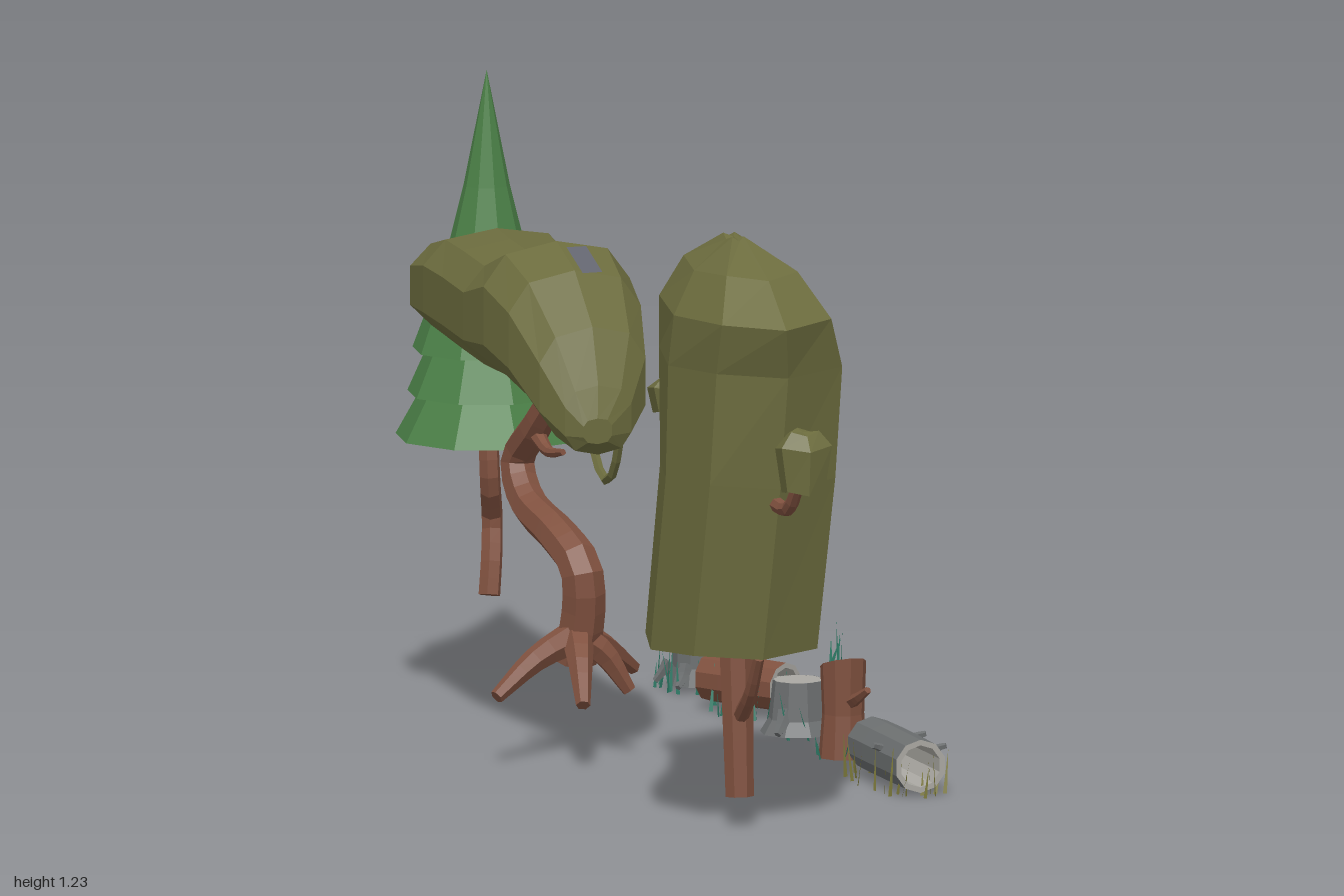
import * as THREE from 'three';

const flat = (color, name, side = THREE.FrontSide) => {
  const m = new THREE.MeshStandardMaterial({ color, flatShading: true, side });
  m.name = name;
  return m;
};

let seed = 7;
const rnd = () => (seed = (seed * 16807) % 2147483647) / 2147483647;
const V = (p) => new THREE.Vector3(...p);

export function createModel() {
  const root = new THREE.Group();
  const olive = flat(0x6c6c3e, 'oliveLeaves');
  const bark = flat(0x80513f, 'brownBark');
  const pine = flat(0x4b8047, 'pineGreen', THREE.DoubleSide);
  const grey = flat(0x6c6f70, 'greyBark');
  const wood = flat(0xaaa8a2, 'paleWood');
  const slate = flat(0x62656f, 'slate');
  const teal = flat(0x2f7d68, 'tealGrass', THREE.DoubleSide);
  const straw = flat(0x7d7a3c, 'strawGrass', THREE.DoubleSide);

  const group = (name, parent = root) => {
    const g = new THREE.Group();
    g.name = name;
    parent.add(g);
    return g;
  };
  const add = (parent, name, geo, mat, pos = [0, 0, 0]) => {
    const m = new THREE.Mesh(geo, mat);
    m.name = name;
    m.position.set(...pos);
    parent.add(m);
    return m;
  };

  // Skin between rings of points, capped at both ends; pick(ring, side) chooses material 0 or 1
  function loft(rings, pick = () => 0) {
    const parts = [[], []];
    const n = rings[0].length;
    const face = (k, ...pts) => pts.forEach((p) => parts[k].push(p.x, p.y, p.z));
    const mid = (r) => r.reduce((s, p) => s.add(p), new THREE.Vector3()).divideScalar(n);
    const last = rings.length - 1;
    for (let j = 0; j < n; j++) {
      const k = (j + 1) % n;
      for (let i = 0; i < last; i++) {
        const [a, b, c, d] = [rings[i][j], rings[i][k], rings[i + 1][k], rings[i + 1][j]];
        face(pick(i, j), a, b, c);
        face(pick(i, j), a, c, d);
      }
      face(pick(-1, j), mid(rings[0]), rings[0][k], rings[0][j]);
      face(pick(last, j), mid(rings[last]), rings[last][j], rings[last][k]);
    }
    const g = new THREE.BufferGeometry();
    g.setAttribute('position', new THREE.Float32BufferAttribute([...parts[0], ...parts[1]], 3));
    g.addGroup(0, parts[0].length / 3, 0);
    if (parts[1].length) g.addGroup(parts[0].length / 3, parts[1].length / 3, 1);
    g.computeVertexNormals();
    return g;
  }

  // Tapered limb along a smooth path
  function limb(parent, name, pts, r0, r1, mat = bark, sides = 7) {
    const curve = new THREE.CatmullRomCurve3(pts.map(V));
    const n = (pts.length - 1) * 3;
    const f = curve.computeFrenetFrames(n);
    const rings = [];
    for (let i = 0; i <= n; i++) {
      const c = curve.getPointAt(i / n);
      const r = r0 + (r1 - r0) * (i / n);
      rings.push(Array.from({ length: sides }, (_, j) => {
        const a = (j / sides) * Math.PI * 2;
        return c.clone().addScaledVector(f.normals[i], r * Math.cos(a)).addScaledVector(f.binormals[i], r * Math.sin(a));
      }));
    }
    return add(parent, name, loft(rings), [mat, mat]);
  }

  // Upright foliage from rows of [y, xMin, xMax, zMin, zMax]
  const upright = (rows, sides = 8) => rows.map(([y, x0, x1, z0, z1]) =>
    Array.from({ length: sides }, (_, j) => {
      const a = (j / sides) * Math.PI * 2;
      const k = j % 2 ? 1.08 : 1;
      return V([(x0 + x1) / 2 + ((x1 - x0) / 2) * Math.sin(a) * k, y + (j % 2 ? 0.008 : 0), (z0 + z1) / 2 + ((z1 - z0) / 2) * Math.cos(a) * k]);
    }));

  // Tall tree
  const tall = group('tallTree');
  add(tall, 'tallCanopy', loft(upright([
    [0.36, -0.32, 0.01, 0.43, 0.795], [0.70, -0.305, 0.03, 0.47, 0.845], [0.92, -0.298, 0.038, 0.435, 0.87],
    [1.02, -0.292, 0.0, 0.43, 0.905], [1.1, -0.24, -0.05, 0.475, 0.8], [1.155, -0.17, -0.14, 0.59, 0.66],
  ]), (i) => (i < 0 ? 1 : 0)), [olive, slate]);
  limb(tall, 'tallTrunk', [[-0.152, 0.07, 0.65], [-0.152, 0.22, 0.64], [-0.152, 0.4, 0.625]], 0.028, 0.034);
  limb(tall, 'lowBranch', [[-0.152, 0.23, 0.66], [-0.155, 0.28, 0.72], [-0.155, 0.36, 0.77]], 0.016, 0.011);
  limb(tall, 'frontBranch', [[-0.14, 0.67, 0.82], [-0.14, 0.672, 0.9], [-0.137, 0.73, 0.95]], 0.016, 0.012);
  limb(tall, 'backBranch', [[-0.17, 0.67, 0.49], [-0.18, 0.69, 0.42], [-0.19, 0.79, 0.39]], 0.015, 0.011);
  const tuft = (name, x, y, z, w, h, d) => add(tall, name, loft(upright([
    [y, x - w * 0.75, x + w * 0.75, z - d * 0.85, z + d * 0.85], [y + h * 0.75, x - w, x + w, z - d, z + d],
    [y + h, x - w * 0.55, x + w * 0.55, z - d * 0.6, z + d * 0.6],
  ], 6)), [olive, olive]);
  tuft('frontTuft', -0.13, 0.71, 0.952, 0.055, 0.115, 0.047);
  tuft('backTuft', -0.193, 0.775, 0.375, 0.048, 0.065, 0.047);

  // Arched tree: rows of [z, xMin, xMax, yMin, yMax]
  const arched = group('archedTree');
  const bow = (v) => Math.sign(v) * Math.abs(v) ** 0.75;
  add(arched, 'archedCanopy', loft([
    [0.195, -0.31, -0.25, 0.69, 0.74], [0.17, -0.34, -0.2, 0.665, 0.8], [0.115, -0.375, -0.15, 0.68, 0.905],
    [0.02, -0.405, -0.125, 0.74, 1.0], [-0.085, -0.42, -0.11, 0.765, 1.04], [-0.2, -0.42, -0.125, 0.77, 0.995],
    [-0.35, -0.41, -0.12, 0.775, 1.0], [-0.475, -0.405, -0.092, 0.78, 1.0], [-0.59, -0.39, -0.105, 0.785, 0.97],
    [-0.655, -0.35, -0.15, 0.795, 0.87],
  ].map(([z, x0, x1, y0, y1]) => Array.from({ length: 10 }, (_, j) => {
    const a = (j / 10) * Math.PI * 2;
    return V([(x0 + x1) / 2 + ((x1 - x0) / 2) * bow(Math.sin(a)), (y0 + y1) / 2 + ((y1 - y0) / 2) * bow(Math.cos(a)), z]);
  }))), [olive, olive]);
  add(arched, 'canopyPatch', new THREE.PlaneGeometry(0.04, 0.1).rotateX(-Math.PI / 2 + 0.36), slate, [-0.238, 1.016, 0.0]);
  limb(arched, 'archedTrunk', [
    [-0.19, 0.2, -0.2], [-0.18, 0.29, -0.175], [-0.185, 0.38, -0.17], [-0.2, 0.43, -0.25], [-0.215, 0.48, -0.4],
    [-0.215, 0.55, -0.45], [-0.205, 0.63, -0.37], [-0.19, 0.72, -0.3], [-0.2, 0.8, -0.3],
  ], 0.046, 0.026);
  limb(arched, 'upperBranch', [[-0.19, 0.71, -0.3], [-0.2, 0.725, -0.2], [-0.21, 0.78, -0.08]], 0.022, 0.014);
  limb(arched, 'backUpperBranch', [[-0.19, 0.72, -0.29], [-0.2, 0.75, -0.34], [-0.21, 0.8, -0.36]], 0.02, 0.012);
  limb(arched, 'sideBranch', [[-0.205, 0.61, -0.36], [-0.205, 0.59, -0.3], [-0.2, 0.6, -0.23]], 0.016, 0.006);
  [[-0.375, 0.15, -0.12], [-0.035, 0.16, -0.29], [-0.23, 0.14, -0.03], [-0.09, 0.14, -0.16], [-0.25, 0.17, -0.29]].forEach(([x, y, z]) =>
    limb(arched, 'root', [[-0.19, 0.25, -0.18], [(x - 0.19) / 2, 0.215, (z - 0.18) / 2], [x, y, z]], 0.034, 0.014, bark, 6));
  limb(arched, 'vineLoop', [
    [-0.18, 0.78, 0.02], [-0.18, 0.66, 0.035], [-0.18, 0.575, -0.03], [-0.18, 0.61, -0.1], [-0.18, 0.78, -0.125],
  ], 0.009, 0.009, olive, 5);

  // Conifer: skirted tiers below a tall spire
  const conifer = group('conifer');
  add(conifer, 'needles', new THREE.LatheGeometry([
    [0, 0.56], [0.178, 0.53], [0.125, 0.625], [0.155, 0.615], [0.115, 0.705], [0.145, 0.7], [0.085, 0.86], [0.045, 1.02], [0, 1.245],
  ].map((p) => new THREE.Vector2(...p)), 9), pine, [-0.143, 0, -0.832]);
  limb(conifer, 'coniferTrunk', [
    [-0.14, 0.22, -0.825], [-0.13, 0.29, -0.84], [-0.12, 0.36, -0.865], [-0.14, 0.44, -0.82], [-0.14, 0.58, -0.835],
  ], 0.022, 0.02, bark, 6);

  // Fallen and standing stumps
  const lathe = (pts, sides) => new THREE.LatheGeometry(pts.map((p) => new THREE.Vector2(...p)), sides);
  function hollow(name, r, ri, h, rFoot, mat) {
    const g = group(name);
    add(g, 'shell', lathe([[rFoot, -h / 2], [r * 1.02, -h * 0.2], [r, h / 2]], 10), mat);
    add(g, 'hollowWood', lathe([[r, h / 2], [ri, h / 2], [ri, -h / 2], [rFoot, -h / 2]], 10), wood);
    return g;
  }
  const greyLog = hollow('greyLog', 0.052, 0.041, 0.28, 0.052, grey);
  greyLog.rotation.x = Math.PI / 2;
  greyLog.position.set(0.288, 0.07, 0.312);
  [[-0.04, 0.04], [0.045, -0.05], [0.04, 0.09]].forEach(([x, y]) =>
    limb(greyLog, 'knot', [[x, y, -0.02], [x * 1.35, y + 0.004, -0.026], [x * 1.65, y + 0.01, -0.03]], 0.009, 0.006, grey, 5));

  const brownLog = hollow('brownLog', 0.048, 0.038, 0.19, 0.048, bark);
  brownLog.rotation.set(Math.PI / 2, 0, -Math.atan2(0.09, 0.157));
  brownLog.position.set(0.288, 0.072, -0.542);

  const greyShell = hollow('hollowStump', 0.048, 0.039, 0.115, 0.06, grey);
  greyShell.position.set(0.29, 0.078, -0.84);
  for (let i = 0; i < 6; i++) {
    const a = i * 1.047 + 0.3, s = Math.sin(a), c = Math.cos(a), e = 0.082 + 0.012 * (i % 2);
    limb(greyShell, 'stumpRoot', [[s * 0.054, -0.015, c * 0.054], [s * 0.068, -0.035, c * 0.068], [s * e, -0.052, c * e]], 0.014, 0.006, grey, 5);
  }

  const cutStump = group('cutStump');
  cutStump.position.set(0.287, 0, -0.25);
  add(cutStump, 'stumpBody', lathe([[0, 0.022], [0.075, 0.022], [0.058, 0.05], [0.05, 0.125], [0.049, 0.125]], 9), grey);
  add(cutStump, 'stumpTop', new THREE.CircleGeometry(0.05, 9).rotateX(-Math.PI / 2), wood, [0, 0.125, 0]);
  [[0.01, -0.095], [-0.06, 0.05], [0.065, 0.04]].forEach(([x, z]) =>
    limb(cutStump, 'stumpRoot', [[x * 0.45, 0.07, z * 0.45], [x * 0.75, 0.045, z * 0.75], [x, 0.028, z]], 0.022, 0.007, grey, 5));

  // Broken stump with a slanted top and twigs
  const broken = group('brokenStump');
  broken.position.set(0.29, 0, 0);
  const tilt = (geo) => {
    const p = geo.attributes.position;
    for (let i = 0; i < p.count; i++) if (p.getY(i) > 0.15) p.setY(i, p.getY(i) + p.getZ(i) * 0.35);
    geo.computeVertexNormals();
    return geo;
  };
  add(broken, 'brokenBody', tilt(lathe([[0, 0.015], [0.048, 0.015], [0.041, 0.1], [0.045, 0.198]], 9)), bark);
  add(broken, 'brokenTop', tilt(new THREE.CircleGeometry(0.045, 9).rotateX(-Math.PI / 2).translate(0, 0.198, 0)), wood);
  limb(broken, 'twig', [[0.005, 0.125, 0.03], [0.008, 0.14, 0.065], [0.015, 0.16, 0.1]], 0.014, 0.007, bark, 5);
  limb(broken, 'twig', [[0, 0.13, -0.03], [0.005, 0.15, -0.06], [0.02, 0.18, -0.1]], 0.013, 0.006, bark, 5);

  // Grass blades scattered on an ellipse around each stump
  function grass(name, x, y, z, rx, rz, count, height, mat) {
    const pos = [];
    for (let i = 0; i < count; i++) {
      const a = rnd() * Math.PI * 2, k = 0.85 + rnd() * 0.3;
      const px = x + Math.sin(a) * rx * k, pz = z + Math.cos(a) * rz * k;
      const b = rnd() * Math.PI, w = 0.004, h = height * (0.5 + rnd() * 0.5);
      pos.push(px - w * Math.cos(b), y, pz - w * Math.sin(b), px + w * Math.cos(b), y, pz + w * Math.sin(b),
        px + (rnd() - 0.5) * 0.03, y + h, pz + (rnd() - 0.5) * 0.03);
    }
    const g = new THREE.BufferGeometry();
    g.setAttribute('position', new THREE.Float32BufferAttribute(pos, 3));
    g.computeVertexNormals();
    add(root, name, g, mat);
  }
  grass('logGrass', 0.288, 0.012, 0.31, 0.075, 0.15, 26, 0.1, straw);
  grass('stumpSprig', 0.29, 0.195, -0.01, 0.02, 0.02, 5, 0.08, teal);
  grass('brokenStumpGrass', 0.29, 0.012, 0, 0.05, 0.05, 6, 0.07, teal);
  grass('cutStumpGrass', 0.287, 0.015, -0.25, 0.06, 0.075, 16, 0.1, teal);
  grass('brownLogGrass', 0.288, 0.015, -0.54, 0.08, 0.11, 14, 0.1, teal);
  grass('hollowStumpGrass', 0.29, 0.012, -0.84, 0.075, 0.085, 18, 0.09, teal);

  return root;
}
